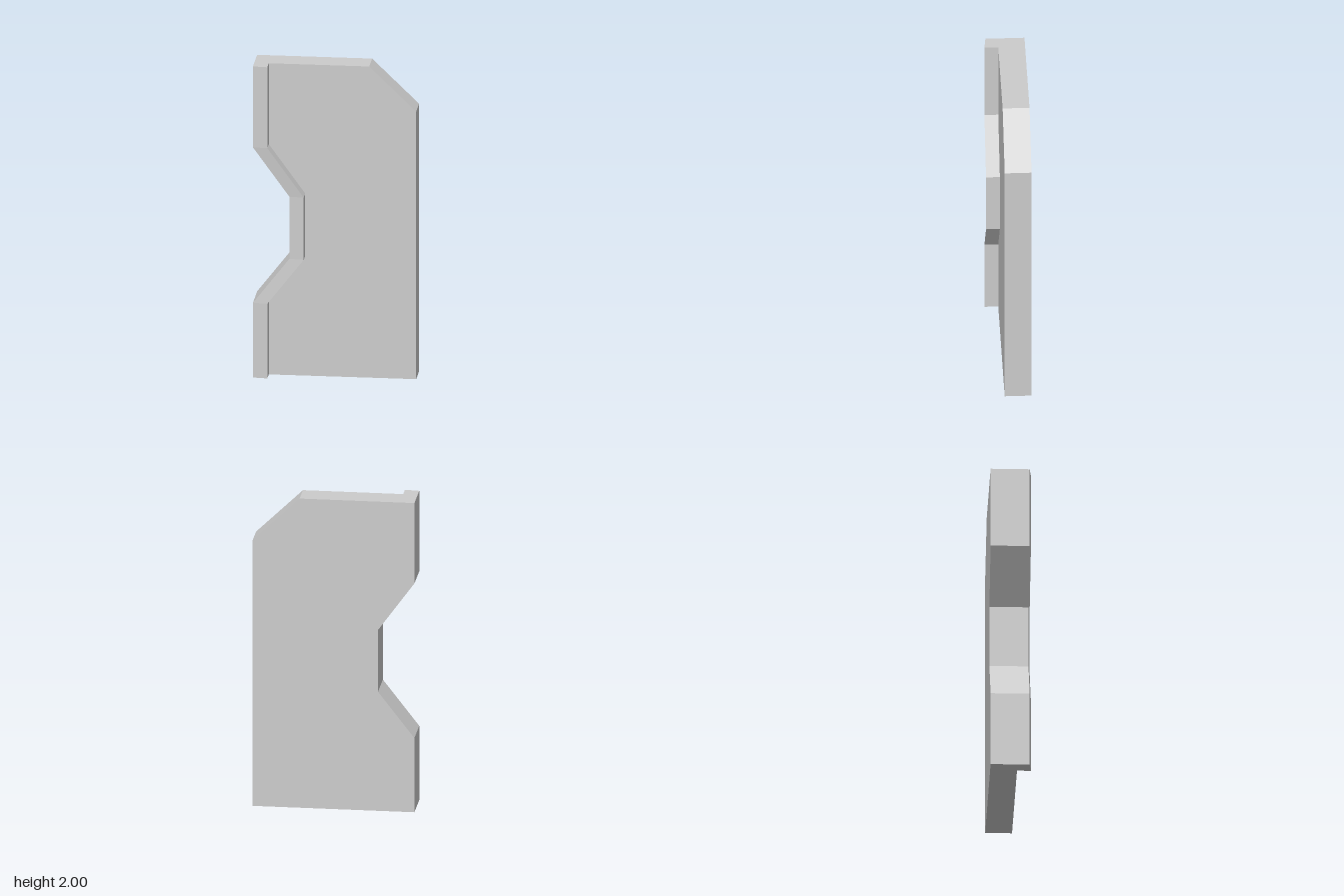
import * as THREE from 'three';

const BACK = -0.125, FACE = 0.04, RIM_OUTER = 0.115, RIM_INNER = 0.125, RIM_WIDTH = 0.09;

// Heights where the outline bends: [y, left edge x, right edge x]
const stations = [
  [0, -0.5, 0.5],
  [0.48, -0.5, 0.5],
  [0.77, -0.275, 0.5],
  [1.17, -0.275, 0.5],
  [1.48, -0.5, 0.5],
  [1.72, -0.5, 0.5],
  [2, -0.5, 0.21],
];

// Joins open cross-sections up the height and caps both ends
function loft(name, section, material) {
  const rings = stations.map(([y, left, right]) =>
    section(left, right).map(([x, z]) => [x, y, z]));
  const positions = [];
  const triangle = (a, b, c) => positions.push(...a, ...b, ...c);

  for (let s = 0; s < rings.length - 1; s++) {
    const low = rings[s], high = rings[s + 1];
    for (let i = 0; i < low.length - 1; i++) {
      triangle(low[i], low[i + 1], high[i + 1]);
      triangle(low[i], high[i + 1], high[i]);
    }
  }
  const bottom = rings[0], top = rings[rings.length - 1];
  for (let i = 1; i < top.length - 1; i++) {
    triangle(top[0], top[i], top[i + 1]);
    triangle(bottom[0], bottom[i + 1], bottom[i]);
  }

  const geometry = new THREE.BufferGeometry();
  geometry.setAttribute('position', new THREE.Float32BufferAttribute(positions, 3));
  geometry.computeVertexNormals();
  const mesh = new THREE.Mesh(geometry, material);
  mesh.name = name;
  return mesh;
}

export function createModel() {
  const group = new THREE.Group();
  group.name = 'notchedPanel';
  const material = new THREE.MeshStandardMaterial({ color: 0xcccccc, flatShading: true });

  // Flat slab with a notched edge and one clipped top corner
  group.add(loft('panel', (left, right) => [
    [left + RIM_WIDTH, FACE], [right, FACE], [right, BACK], [left, BACK], [left, FACE],
  ], material));

  // Raised lip following the notched edge, its front slightly tilted
  group.add(loft('rim', (left) => [
    [left, FACE], [left, RIM_OUTER], [left + RIM_WIDTH, RIM_INNER], [left + RIM_WIDTH, FACE],
  ], material));

  return group;
}
